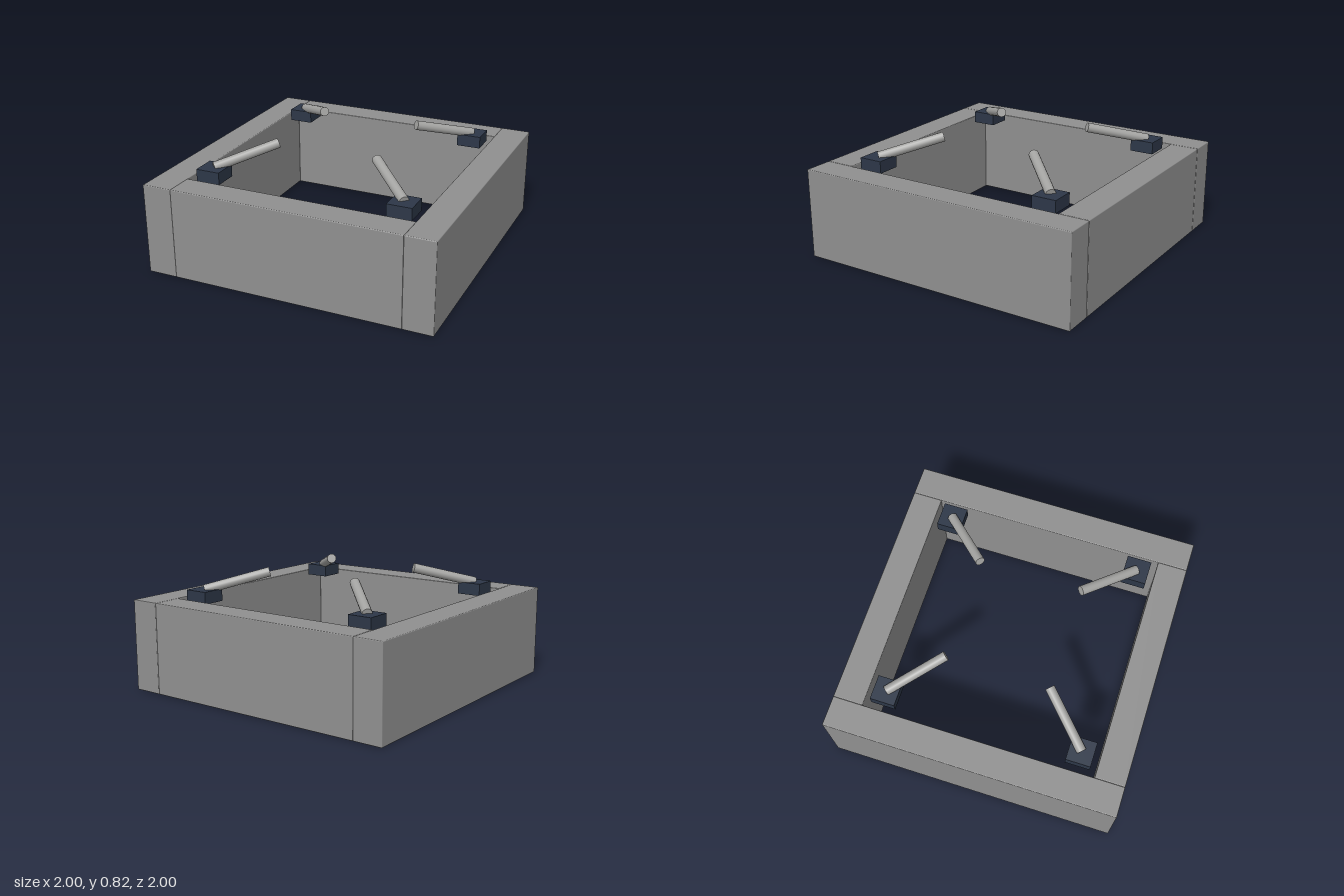
import * as THREE from 'three';
import { RoundedBoxGeometry } from 'three/addons/geometries/RoundedBoxGeometry.js';

const stone = new THREE.MeshStandardMaterial({ name: 'wall grey', color: 0x909090 });
const dark = new THREE.MeshStandardMaterial({ name: 'dark slate', color: 0x2d3748 });
const metal = new THREE.MeshStandardMaterial({ name: 'rod grey', color: 0xa4a4a2 });

const HEIGHT = 0.625;
const THICK = 0.205;

function addMesh(parent, name, geometry, material, x, y, z) {
  const mesh = new THREE.Mesh(geometry, material);
  mesh.name = name;
  mesh.position.set(x, y, z);
  parent.add(mesh);
  return mesh;
}

export function createModel() {
  const model = new THREE.Group();
  model.name = 'squareBasin';

  // Four walls with slightly eased edges; the side walls run the full depth
  const sideWall = new RoundedBoxGeometry(THICK, HEIGHT, 2, 2, 0.006);
  const endWall = new RoundedBoxGeometry(2 - 2 * THICK, HEIGHT, THICK, 2, 0.006);
  const offset = 1 - THICK / 2;
  addMesh(model, 'leftWall', sideWall, stone, offset, HEIGHT / 2, 0);
  addMesh(model, 'rightWall', sideWall, stone, -offset, HEIGHT / 2, 0);
  addMesh(model, 'frontWall', endWall, stone, 0, HEIGHT / 2, offset);
  addMesh(model, 'backWall', endWall, stone, 0, HEIGHT / 2, -offset);

  // Corner spouts: a block and a rod rising toward the centre
  const block = new THREE.BoxGeometry(0.167, 0.083, 0.167);
  for (const sx of [-1, 1]) {
    for (const sz of [-1, 1]) {
      const spout = new THREE.Group();
      spout.name = (sz > 0 ? 'front' : 'back') + (sx > 0 ? 'Left' : 'Right') + 'Spout';
      addMesh(spout, 'spoutBase', block, dark, sx * 0.667, 0.64, sz * 0.667);

      const start = new THREE.Vector3(sx * 0.667, 0.68, sz * 0.667);
      const end = new THREE.Vector3(sx * 0.354, 0.79, sz * 0.354);
      const axis = end.clone().sub(start);
      const mid = start.clone().add(end).multiplyScalar(0.5);
      const rod = addMesh(spout, 'spoutRod',
        new THREE.CylinderGeometry(0.033, 0.033, axis.length(), 16),
        metal, mid.x, mid.y, mid.z);
      rod.quaternion.setFromUnitVectors(new THREE.Vector3(0, 1, 0), axis.normalize());
      model.add(spout);
    }
  }
  return model;
}
